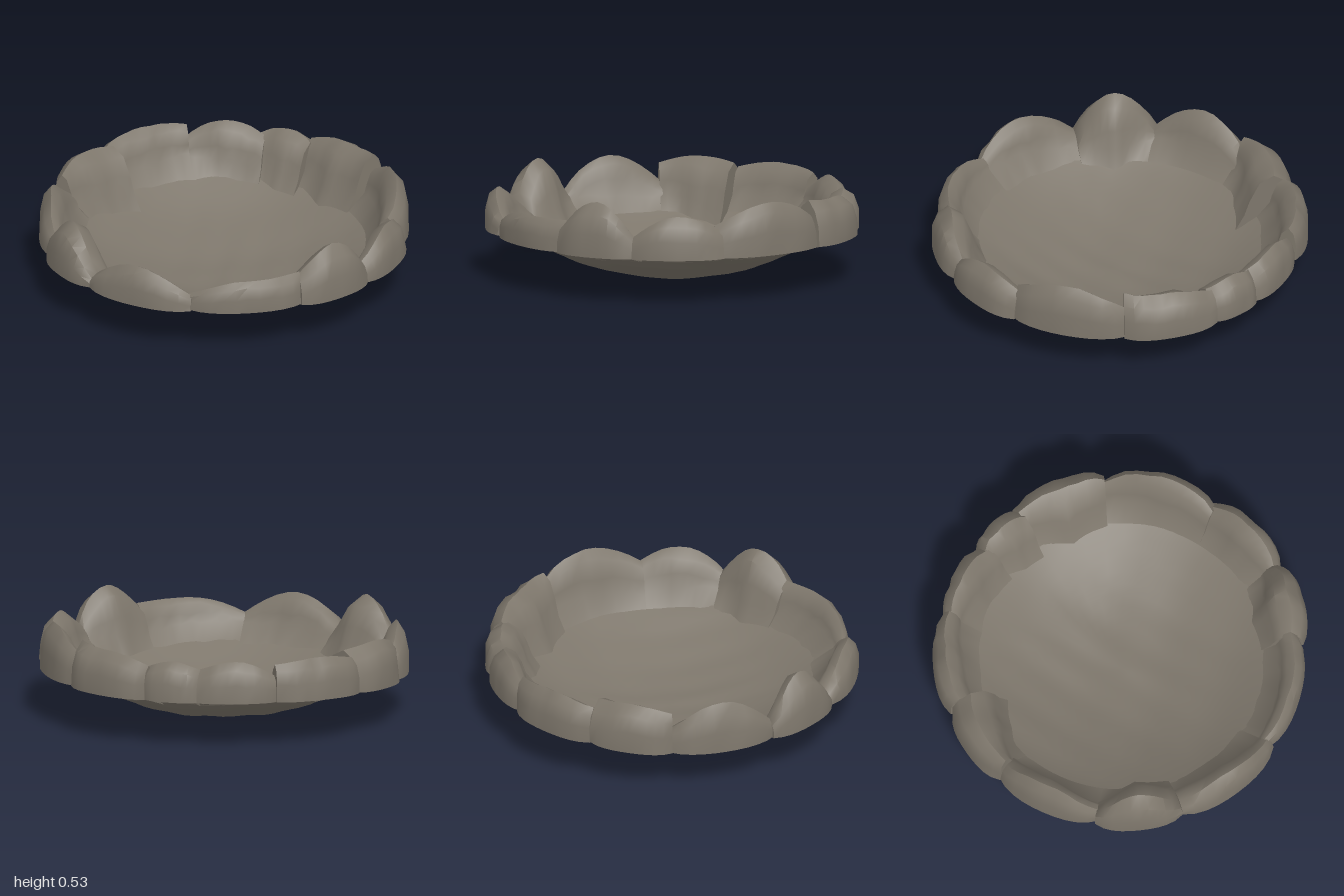
import * as THREE from 'three';
import { toCreasedNormals, mergeVertices } from 'three/addons/utils/BufferGeometryUtils.js';

// Each stone: start and end angle (degrees, from +x towards +z), outer radius,
// then inner radius and crest height at the start, middle and end
const STONES = [
  { arc: [-13, 14], outer: 1.0, inner: [0.85, 0.77, 0.79], crest: [0.36, 0.54, 0.4] },
  { arc: [13, 51], outer: 0.98, inner: [0.82, 0.86, 0.88], crest: [0.42, 0.42, 0.34] },
  { arc: [50, 87], outer: 1.0, inner: [0.88, 0.84, 0.82], crest: [0.33, 0.46, 0.32] },
  { arc: [87, 115], outer: 1.0, inner: [0.79, 0.75, 0.86], crest: [0.3, 0.53, 0.32] },
  { arc: [114, 150], outer: 0.98, inner: [0.87, 0.82, 0.82], crest: [0.32, 0.49, 0.34] },
  { arc: [149, 176], outer: 0.99, inner: [0.85, 0.75, 0.69], crest: [0.44, 0.48, 0.46] },
  { arc: [176, 207], outer: 1.0, inner: [0.83, 0.83, 0.86], crest: [0.43, 0.47, 0.45] },
  { arc: [206, 234], outer: 0.98, inner: [0.86, 0.8, 0.77], crest: [0.38, 0.47, 0.41] },
  { arc: [232, 251], outer: 0.98, inner: [0.81, 0.76, 0.75], crest: [0.42, 0.46, 0.42] },
  { arc: [250, 281], outer: 1.0, inner: [0.82, 0.74, 0.79], crest: [0.43, 0.48, 0.5] },
  { arc: [280, 320], outer: 0.98, inner: [0.85, 0.82, 0.8], crest: [0.41, 0.53, 0.42] },
  { arc: [318, 348], outer: 1.0, inner: [0.82, 0.81, 0.86], crest: [0.4, 0.48, 0.36] },
];

// Stone cross-section: fraction from outer to inner radius, fraction of the height
const SECTION = [[0, 0], [0, 0.45], [0.12, 0.8], [0.38, 1], [0.68, 0.84], [0.88, 0.5], [1, 0.2]];

// Height of the bowl at a given radius
const bowlHeight = (r) => 0.012 + 0.36 * Math.pow(r, 2.2);

// Gentle repeatable unevenness
const bump = (x, z) => Math.sin(x * 11 + 1.3) * Math.cos(z * 9.5 + x * 4) * 0.6 + Math.sin(x * 23 - z * 19) * 0.4;

// Blend start, middle and end values along a stone; ease rounds the blend into a dome
function along([start, middle, end], t, ease = (s) => s) {
  const nearEnd = t < 0.5 ? start : end;
  return THREE.MathUtils.lerp(nearEnd, middle, ease(1 - Math.abs(2 * t - 1)));
}
const dome = (s) => Math.sin((s * Math.PI) / 2);

// Hollow stone shell, open underneath, whose inner face runs down onto the bowl
function stoneGeometry({ arc, outer, inner, crest }) {
  const steps = 10, n = SECTION.length + 1;
  const points = [], index = [];
  for (let i = 0; i <= steps; i++) {
    const t = i / steps;
    const a = THREE.MathUtils.degToRad(THREE.MathUtils.lerp(arc[0], arc[1], t));
    const ro = outer - 0.035 * (2 * t - 1) ** 4;
    const ri = along(inner, t);
    const top = along(crest, t, dome);
    // bases sag a little on the front right
    const base = 0.255 - 0.03 * Math.max(0, Math.cos(a - 2.4)) ** 4;
    const ring = SECTION.map(([across, up]) => {
      const foot = THREE.MathUtils.lerp(base, bowlHeight(ri), across);
      const rough = up > 0 ? 0.012 * bump(Math.cos(a) * 1.7 + up, Math.sin(a) * 1.7 + across) : 0;
      const r = THREE.MathUtils.lerp(ro, ri, across) + Math.min(rough, 0);
      return [r, THREE.MathUtils.lerp(foot, top, up) + (up < 1 ? rough : 0)];
    });
    const toe = Math.min(ri, 0.8) - 0.05;
    ring.push([toe, bowlHeight(toe)]);
    ring.forEach(([r, y], j) => {
      points.push(r * Math.cos(a), y, r * Math.sin(a));
      if (i < steps && j < n - 1) {
        const p = i * n + j, q = p + n;
        index.push(p, p + 1, q, p + 1, q + 1, q);
      }
    });
  }
  // end caps
  const last = steps * n;
  for (let j = 1; j < n - 1; j++) {
    index.push(0, j + 1, j, last, last + j, last + j + 1);
  }
  const geometry = new THREE.BufferGeometry();
  geometry.setAttribute('position', new THREE.Float32BufferAttribute(points, 3));
  geometry.setIndex(index);
  return toCreasedNormals(geometry, 0.75);
}

function bowlGeometry() {
  const profile = [];
  for (let i = 0; i <= 14; i++) {
    const r = (0.8 * i) / 14;
    profile.push(new THREE.Vector2(r, bowlHeight(r)));
  }
  let geometry = new THREE.LatheGeometry(profile, 40);
  geometry.deleteAttribute('uv');
  geometry.deleteAttribute('normal');
  geometry = mergeVertices(geometry, 1e-4);
  const p = geometry.attributes.position;
  for (let i = 0; i < p.count; i++) {
    p.setY(i, Math.max(0, p.getY(i) + 0.008 * bump(p.getX(i), p.getZ(i))));
  }
  geometry.computeVertexNormals();
  return geometry;
}

export function createModel() {
  const model = new THREE.Group();
  model.name = 'stoneFirePit';
  const stone = new THREE.MeshStandardMaterial({ color: 0x7d766b, side: THREE.DoubleSide });
  stone.name = 'greyStone';

  // shallow bowl
  const bowl = new THREE.Mesh(bowlGeometry(), stone);
  bowl.name = 'bowl';
  model.add(bowl);

  // ring of rim stones
  const rim = new THREE.Group();
  rim.name = 'rimStones';
  STONES.forEach((spec, i) => {
    const mesh = new THREE.Mesh(stoneGeometry(spec), stone);
    mesh.name = `rimStone${i + 1}`;
    rim.add(mesh);
  });
  model.add(rim);
  return model;
}
